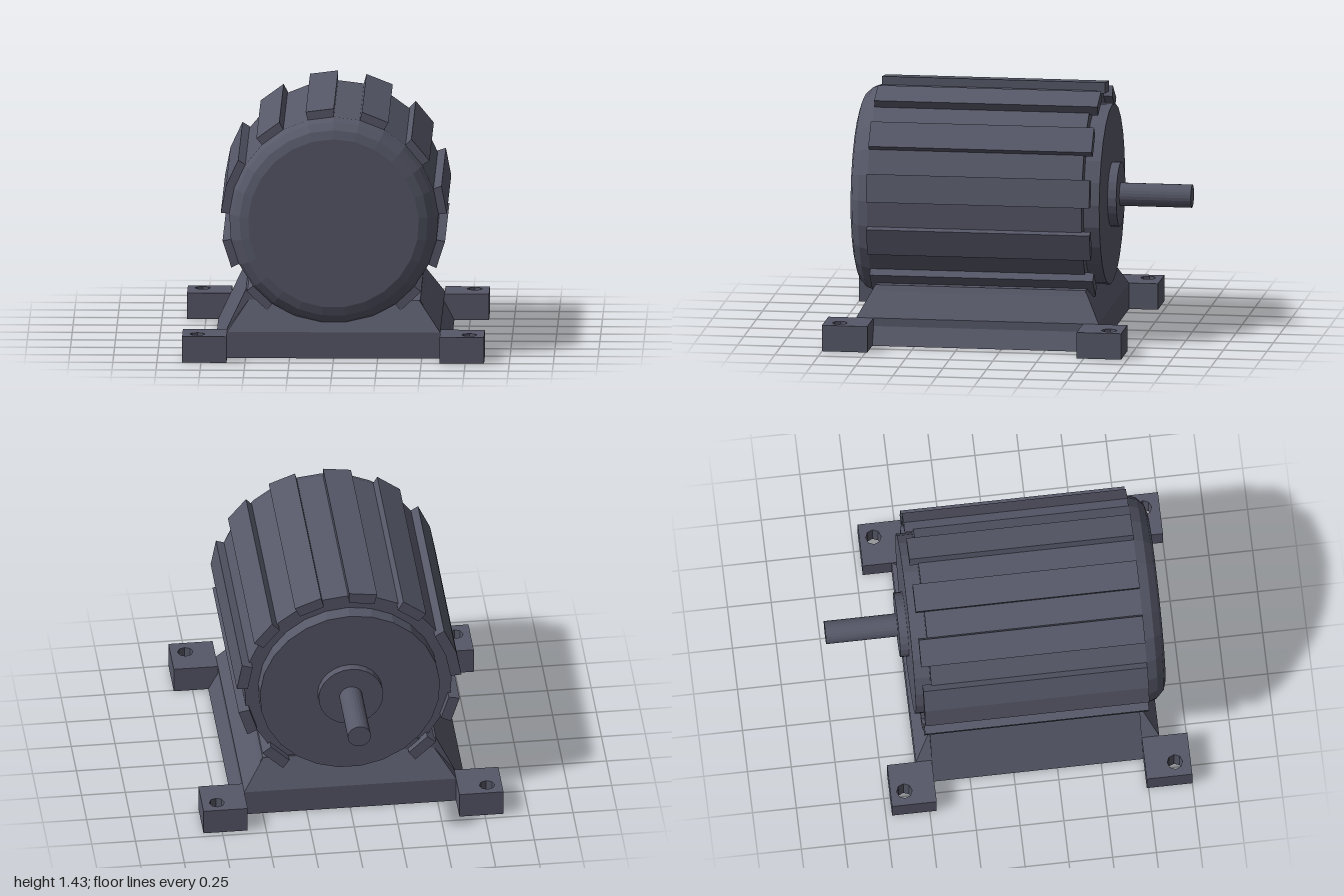
import * as THREE from 'three';

const SIDES = 25, STEP = (Math.PI * 2) / SIDES, AXIS_Y = 0.785;
const material = new THREE.MeshStandardMaterial({ color: 0x565868, flatShading: true });

function add(parent, name, geometry, x = 0, y = 0, z = 0) {
  const mesh = new THREE.Mesh(geometry, material);
  mesh.name = name;
  mesh.position.set(x, y, z);
  parent.add(mesh);
  return mesh;
}

// Turned part along z, from [radius, z] pairs running back to front
function turned(profile, sides) {
  const points = profile.map(([r, z]) => new THREE.Vector2(r, z));
  return new THREE.LatheGeometry(points, sides, Math.PI).rotateX(Math.PI / 2);
}

// Polygon in the xy plane, swept from z0 to z1
function prism(corners, z0, z1) {
  const shape = new THREE.Shape(corners.map(([x, y]) => new THREE.Vector2(x, y)));
  return new THREE.ExtrudeGeometry(shape, { depth: z1 - z0, bevelEnabled: false }).translate(0, 0, z0);
}

// Box whose top face shrinks by the given factors
function taperedBox(w, h, d, topX, topZ) {
  const geometry = new THREE.BoxGeometry(w, h, d);
  const p = geometry.attributes.position;
  for (let i = 0; i < p.count; i++) {
    if (p.getY(i) > 0) p.setXYZ(i, p.getX(i) * topX, p.getY(i), p.getZ(i) * topZ);
  }
  return geometry;
}

// Square mounting foot with a vertical bolt hole
function footGeometry(x0, x1, z0, z1, holeX, holeZ) {
  const shape = new THREE.Shape([[x0, -z0], [x1, -z0], [x1, -z1], [x0, -z1]]
    .map(([x, y]) => new THREE.Vector2(x, y)));
  const hole = [];
  for (let i = 0; i < 8; i++) {
    const a = (i / 8) * Math.PI * 2;
    hole.push(new THREE.Vector2(holeX + 0.044 * Math.cos(a), -holeZ + 0.044 * Math.sin(a)));
  }
  shape.holes.push(new THREE.Path(hole));
  return new THREE.ExtrudeGeometry(shape, { depth: 0.15, bevelEnabled: false }).rotateX(-Math.PI / 2);
}

export function createModel() {
  const model = new THREE.Group();
  model.name = 'electricMotor';

  // Housing with rounded front cap and stepped rear plate
  add(model, 'housing', turned([
    [0, -0.54], [0.515, -0.54], [0.515, -0.45], [0.595, -0.45],
    [0.595, 0.78], [0.575, 0.835], [0.535, 0.875], [0.485, 0.89], [0, 0.89],
  ], SIDES), 0, AXIS_Y);

  // Cooling fins, each covering one side of the housing
  const fins = new THREE.Group();
  fins.name = 'coolingFins';
  fins.position.y = AXIS_Y;
  model.add(fins);
  for (const side of [-10, -8, -6, -5, -3, -1, 1, 3, 5, 7, 9]) {
    const at = (r, k) => [r * Math.sin(k * STEP), r * Math.cos(k * STEP)];
    const corners = [at(0.58, side), at(0.643, side), at(0.643, side + 1), at(0.58, side + 1)];
    add(fins, 'coolingFin', prism(corners, -0.5, 0.78));
  }

  // Bearing boss and drive shaft
  add(model, 'bearingBoss', turned([[0, -0.59], [0.185, -0.59], [0.185, -0.53]], SIDES), 0, AXIS_Y);
  add(model, 'shaft', turned([[0, -1], [0.066, -1], [0.066, -0.58]], 24), 0, AXIS_Y);

  // Base plate, sloping end saddle and flared side flanks
  const base = new THREE.Group();
  base.name = 'base';
  model.add(base);
  add(base, 'basePlate', new THREE.BoxGeometry(1.21, 0.15, 1.39), 0, 0.075, 0.145);
  add(base, 'saddle', taperedBox(1.21, 0.17, 1.39, 0.8, 0.865), 0, 0.235, 0.145);
  add(base, 'flanks', prism([
    [-0.68, 0], [0.66, 0], [0.49, 0.32], [0.3, 0.32], [-0.35, 0.38], [-0.5, 0.38],
  ], -0.46, 0.74));

  // Four mounting feet
  for (const s of [-1, 1]) {
    add(base, 'frontFoot', footGeometry(s * 0.605, s * 0.857, 0.74, 1, s * 0.772, 0.91));
    add(base, 'rearFoot', footGeometry(s * 0.605, s * 0.857, -0.715, -0.46, s * 0.772, -0.635));
  }
  return model;
}
